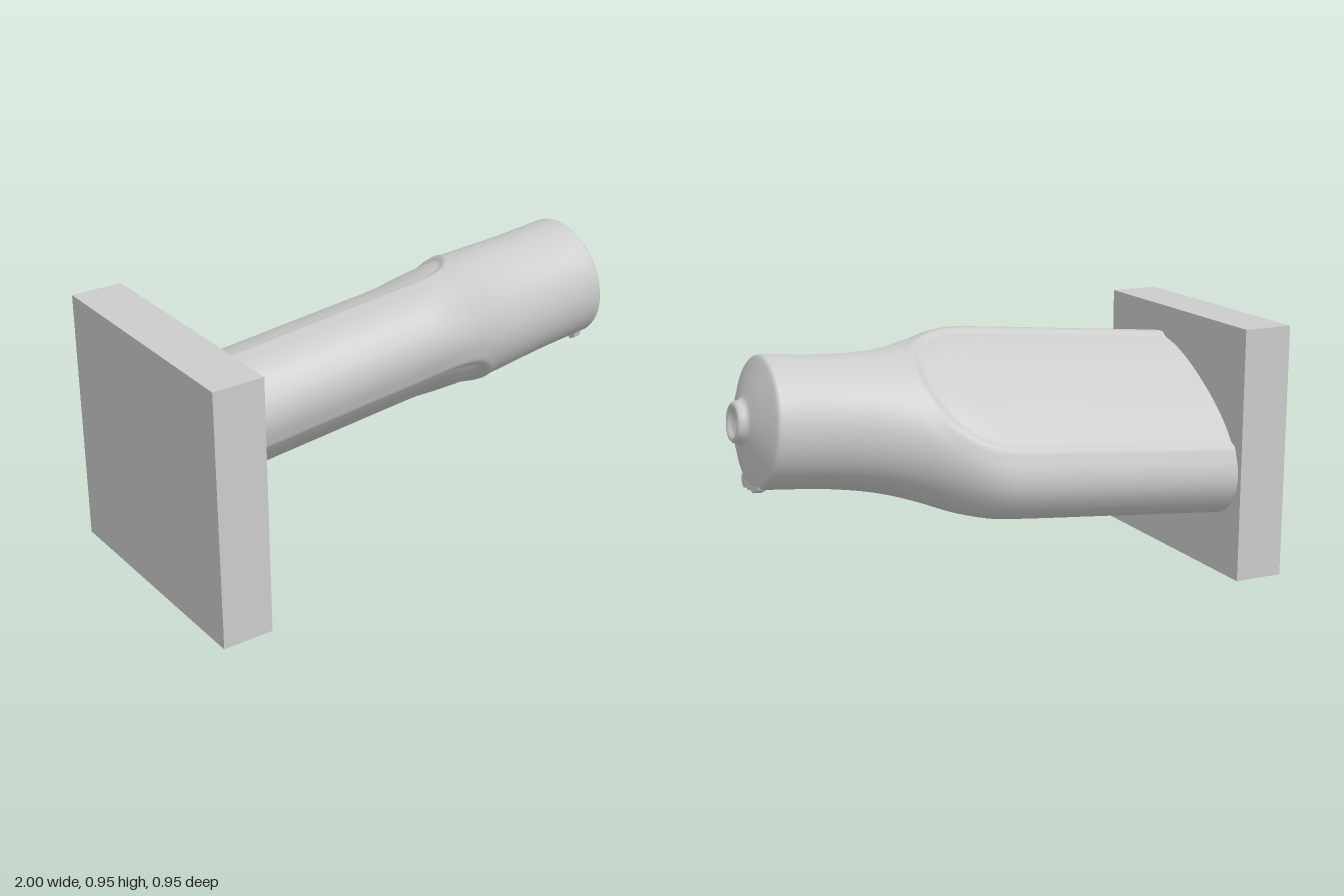
import * as THREE from 'three';

const material = new THREE.MeshStandardMaterial({ color: 0xcccccc, side: THREE.DoubleSide });
const smooth = THREE.MathUtils.smoothstep;

// Bottle sections along its axis: [s, half width, half thickness, superellipse exponent]
const SECTIONS = [
  [-0.86, 0.42, 0.224, 2.3], [-0.4, 0.42, 0.224, 2.3], [0, 0.42, 0.224, 2.3],
  [0.1, 0.414, 0.226, 2.3], [0.2, 0.383, 0.235, 2.25], [0.3, 0.332, 0.241, 2.15],
  [0.4, 0.286, 0.243, 2.05], [0.5, 0.256, 0.24, 2], [0.6, 0.24, 0.236, 2],
  [0.7, 0.233, 0.233, 2], [0.89, 0.232, 0.232, 2],
];
const ROLL = THREE.MathUtils.degToRad(33);

// Smooth interpolation between neighbouring sections
function sectionAt(s) {
  let i = 0;
  while (i < SECTIONS.length - 2 && s > SECTIONS[i + 1][0]) i++;
  const at = (k) => SECTIONS[THREE.MathUtils.clamp(k, 0, SECTIONS.length - 1)];
  const [p, q] = [at(i), at(i + 1)];
  const h = q[0] - p[0], t = (s - p[0]) / h;
  const slope = (k, c) => (at(k + 1)[c] - at(k - 1)[c]) / (at(k + 1)[0] - at(k - 1)[0]);
  return [1, 2, 3].map((c) =>
    (2 * t ** 3 - 3 * t * t + 1) * p[c] + (t ** 3 - 2 * t * t + t) * h * slope(i, c) +
    (3 * t * t - 2 * t ** 3) * q[c] + (t ** 3 - t * t) * h * slope(i + 1, c));
}

// Round-ended label panel sunk into both broad faces, with a faint raised rim
function panelDepth(s, u) {
  const d = Math.hypot(Math.max(0, s - 0.07), u) - 0.3;
  return 0.012 * (1 - smooth(d, -0.02, 0.012)) - 0.004 * Math.exp(-((d - 0.018) ** 2) / 0.0003);
}

function bodyGeometry() {
  const rows = 150, cols = 180, positions = [], index = [];
  const power = (v, n) => Math.sign(v) * Math.abs(v) ** (2 / n);
  const s0 = SECTIONS[0][0], s1 = SECTIONS[SECTIONS.length - 1][0];
  for (let i = 0; i <= rows; i++) {
    const s = s0 + (s1 - s0) * i / rows;
    const [a, b, n] = sectionAt(s);
    for (let j = 0; j < cols; j++) {
      const t = (j / cols) * Math.PI * 2;
      const u = a * power(Math.cos(t), n);
      let w = b * power(Math.sin(t), n);
      w -= panelDepth(s, u) * smooth(Math.abs(w), 0, 0.1) * Math.sign(w);
      positions.push(s, u * Math.sin(ROLL) + w * Math.cos(ROLL), u * Math.cos(ROLL) - w * Math.sin(ROLL));
      if (i < rows) {
        const k = (j + 1) % cols, p = i * cols, q = p + cols;
        index.push(p + j, q + j, q + k, p + j, q + k, p + k);
      }
    }
  }
  const g = new THREE.BufferGeometry();
  g.setAttribute('position', new THREE.Float32BufferAttribute(positions, 3));
  g.setIndex(index);
  g.computeVertexNormals();
  return g;
}

function add(parent, name, geometry) {
  const mesh = new THREE.Mesh(geometry, material);
  mesh.name = name;
  parent.add(mesh);
  return mesh;
}

export function createModel() {
  const model = new THREE.Group();

  // Square mounting plate
  add(model, 'basePlate', new THREE.BoxGeometry(0.19, 0.95, 0.95)).position.set(-0.905, 0.475, 0);

  // Bottle, tilted slightly upwards out of the plate
  const bottle = new THREE.Group();
  bottle.name = 'bottle';
  bottle.position.set(0, 0.615, -0.075);
  bottle.rotation.z = Math.atan(0.1);
  model.add(bottle);
  add(bottle, 'bottleBody', bodyGeometry());

  // Domed end with a small dimpled nozzle
  const profile = [
    [0.232, 0.888], [0.232, 0.9], [0.229, 0.908], [0.222, 0.914], [0.205, 0.92],
    [0.16, 0.939], [0.12, 0.953], [0.09, 0.961], [0.08, 0.966], [0.075, 0.976],
    [0.071, 0.989], [0.065, 0.996], [0.056, 0.997], [0.048, 0.99], [0.036, 0.979], [0, 0.974],
  ].map(([r, s]) => new THREE.Vector2(r, s));
  add(bottle, 'endCap', new THREE.LatheGeometry(profile, 96)).rotation.z = -Math.PI / 2;

  // Ragged flash under the rim, drawn as (z, y) and extruded along the axis
  const jagged = [
    [0.1, -0.205], [0.092, -0.236], [0.07, -0.248], [0.05, -0.238], [0.025, -0.245],
    [0, -0.239], [-0.025, -0.244], [-0.05, -0.233], [-0.075, -0.222], [-0.08, -0.205],
  ].map(([z, y]) => new THREE.Vector2(-z, y));
  const flash = new THREE.ExtrudeGeometry(new THREE.Shape(jagged), { depth: 0.03, bevelEnabled: false });
  const rim = add(bottle, 'rimFlash', flash);
  rim.rotation.y = Math.PI / 2;
  rim.position.x = 0.885;

  return model;
}
